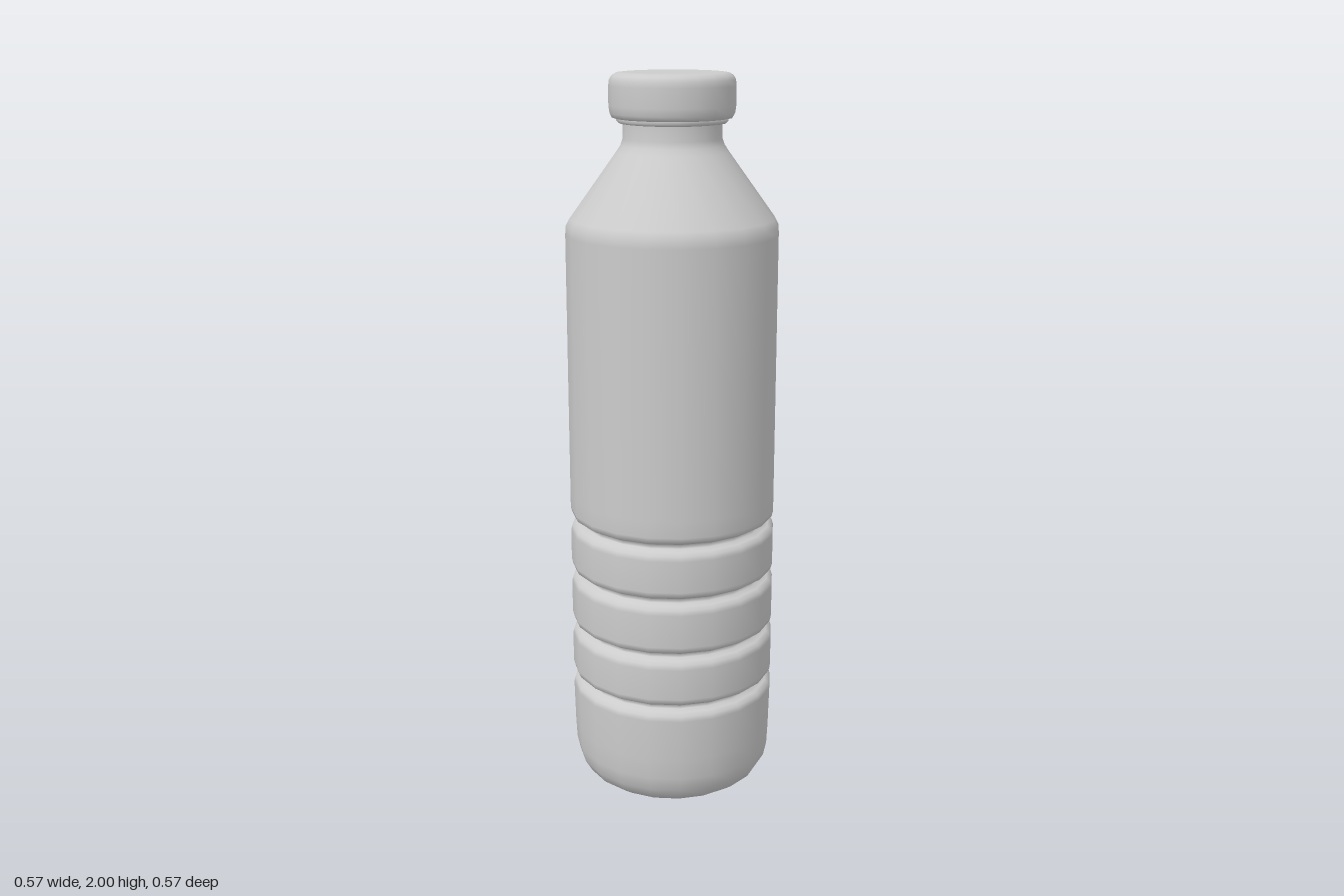
import * as THREE from 'three';

const SIDES = 20;

// Turn a profile of [radius, height] pairs, listed from the bottom up
function turned(name, profile, material) {
  const points = profile.map(([r, y]) => new THREE.Vector2(r, y));
  const mesh = new THREE.Mesh(new THREE.LatheGeometry(points, SIDES), material);
  mesh.name = name;
  return mesh;
}

export function createModel() {
  const material = new THREE.MeshStandardMaterial({ color: 0xcccccc, side: THREE.DoubleSide });
  const bottle = new THREE.Group();
  bottle.name = 'bottle';
  const R = 0.287;

  // Base with a central dimple and a rounded foot
  const body = [
    [0, 0.06], [0.05, 0.055], [0.085, 0.035], [0.1, 0.008], [0.115, 0.004],
    [0.19, 0], [0.225, 0.008], [0.253, 0.028], [0.272, 0.06], [0.281, 0.1], [0.284, 0.16],
  ];

  // Grip grooves cut into the lower body
  for (const y of [0.313, 0.467, 0.627, 0.782]) {
    body.push(
      [R, y - 0.035], [R - 0.004, y - 0.021], [R - 0.015, y - 0.013], [R - 0.031, y - 0.008],
      [R - 0.033, y + 0.005], [R - 0.015, y + 0.01], [R - 0.004, y + 0.017], [R, y + 0.032],
    );
  }

  // Straight upper body, sloping shoulder and neck
  body.push(
    [R, 0.86], [R, 1.58], [R - 0.002, 1.603], [R - 0.012, 1.622],
    [0.15, 1.795], [0.138, 1.813], [0.132, 1.83], [0.131, 1.87], [0.131, 1.9],
  );
  bottle.add(turned('body', body, material));

  // Cap with a thin tamper ring beneath it
  bottle.add(turned('tamperRing', [
    [0.125, 1.868], [0.142, 1.87], [0.148, 1.876], [0.148, 1.888], [0.125, 1.89],
  ], material));
  bottle.add(turned('cap', [
    [0.12, 1.883], [0.15, 1.882], [0.159, 1.884], [0.165, 1.895], [0.168, 1.915],
    [0.168, 1.965], [0.166, 1.98], [0.16, 1.991], [0.148, 1.998], [0.13, 2], [0, 2],
  ], material));

  return bottle;
}
